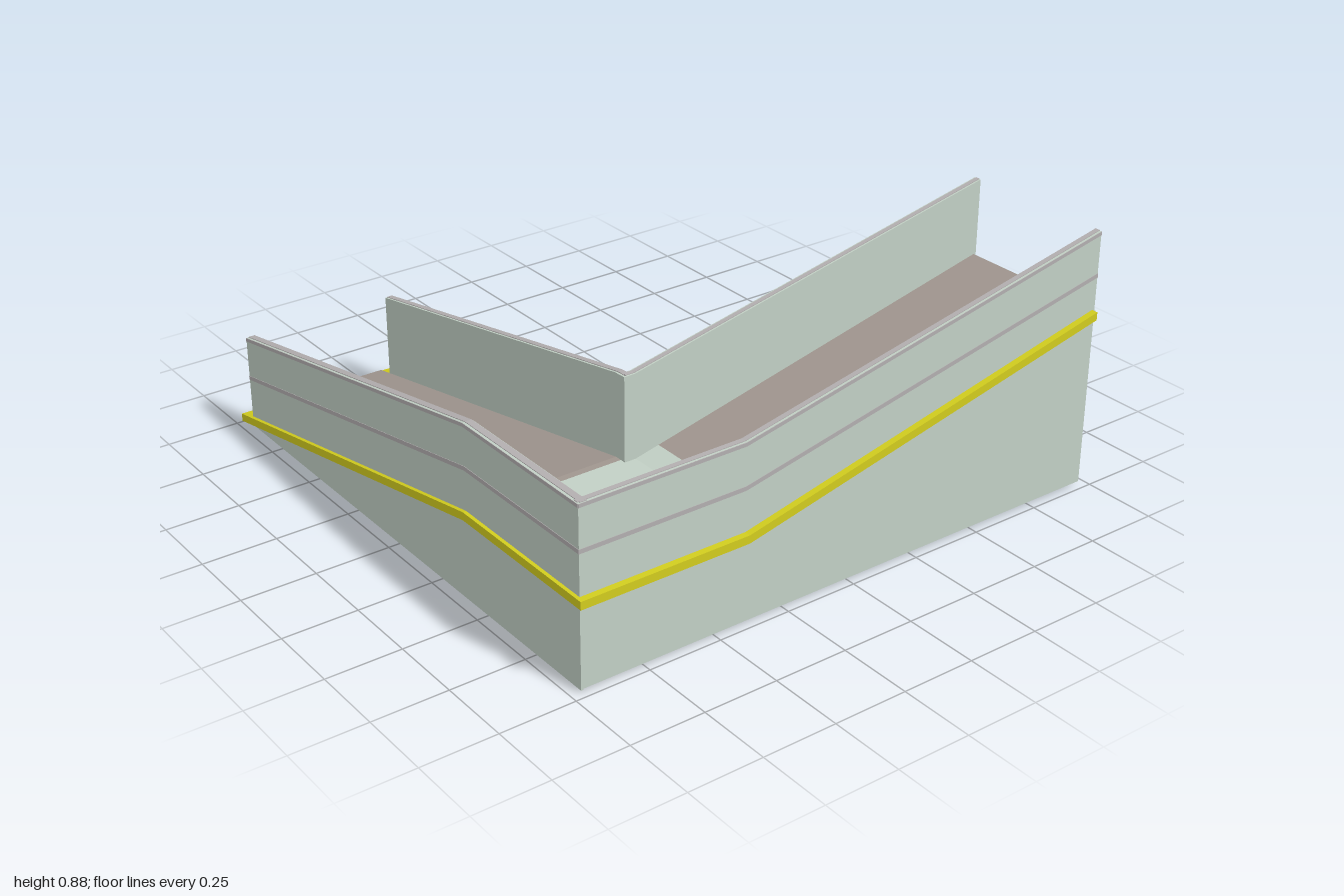
import * as THREE from 'three';

const mat = (name, color, side = THREE.FrontSide) => {
  const m = new THREE.MeshStandardMaterial({ color, side });
  m.name = name;
  return m;
};

export function createModel() {
  const group = new THREE.Group();
  group.name = 'accessRamp';
  const yellow = mat('yellowDeck', 0xd2cd1e);
  const green = mat('paleGreenPanel', 0xc2d0c5);
  const carpet = mat('brownGreyMat', 0xa0968f);
  const grey = mat('greyMetal', 0xb3afb0);

  // Heights of the deck top and of the wall tops along each run
  const lerpPath = pts => s => {
    let i = 0;
    while (i < pts.length - 2 && s > pts[i + 1][0]) i++;
    const [a, b] = [pts[i], pts[i + 1]];
    return a[1] + (b[1] - a[1]) * (s - a[0]) / (b[0] - a[0]);
  };
  // Along x for the lower run; along s = -z for the upper run
  const deckX = lerpPath([[-1, 0.03], [0.41, 0.31], [1, 0.31]]);
  const topX = lerpPath([[-0.94, 0.333], [0.42, 0.597], [1, 0.597]]);
  const deckZ = lerpPath([[-1, 0.31], [-0.4, 0.31], [0.96, 0.62]]);
  const topZ = lerpPath([[-1, 0.597], [-0.4, 0.597], [0.97, 0.88]]);

  // Side profile extruded across: axis x spans z from a to b, axis z spans x
  function profile(name, pts, axis, a, b, material) {
    const shape = new THREE.Shape(pts.map(p => new THREE.Vector2(p[0], p[1])));
    const g = new THREE.ExtrudeGeometry(shape, { depth: b - a, bevelEnabled: false });
    g.translate(0, 0, a);
    if (axis === 'z') g.rotateY(Math.PI / 2);
    const m = new THREE.Mesh(g, material);
    m.name = name;
    group.add(m);
  }

  // Strip lying between two height functions, with an optional bend
  function strip(name, axis, s0, s1, low, high, a, b, material) {
    const bend = axis === 'x' ? 0.41 : -0.4;
    const ss = bend > s0 + 0.001 && bend < s1 - 0.001 ? [s0, bend, s1] : [s0, s1];
    const pts = ss.map(s => [s, low(s)]).concat(ss.slice().reverse().map(s => [s, high(s)]));
    profile(name, pts, axis, a, b, material);
  }
  const off = (f, d) => s => f(s) + d;
  const flat = y => () => y;

  function box(name, x0, x1, y0, y1, z0, z1, material) {
    const m = new THREE.Mesh(new THREE.BoxGeometry(x1 - x0, y1 - y0, z1 - z0), material);
    m.position.set((x0 + x1) / 2, (y0 + y1) / 2, (z0 + z1) / 2);
    m.name = name;
    group.add(m);
  }

  // Decks with walking surfaces
  strip('lowerDeck', 'x', -1, 1, off(deckX, -0.027), deckX, 0.4, 0.98, yellow);
  strip('upperDeck', 'z', -0.4, 0.96, off(deckZ, -0.027), deckZ, 0.415, 1, yellow);
  strip('lowerMat', 'x', -1, 0.435, off(deckX, -0.002), off(deckX, 0.003), 0.44, 0.932, carpet);
  strip('upperMat', 'z', -0.315, 0.96, off(deckZ, -0.002), off(deckZ, 0.003), 0.455, 0.952, carpet);
  strip('landingFloor', 'z', -0.932, -0.315, off(deckZ, -0.002), off(deckZ, 0.003), 0.435, 0.952, green);
  box('topThreshold', 0.46, 0.97, 0.6, 0.608, -0.985, -0.955, green);

  // Front wall: outer sheet reaching the ground, inner sheet above the deck
  strip('frontOuterPanel', 'x', -0.94, 0.978, flat(0.008), topX, 0.96, 0.968, green);
  strip('frontInnerPanel', 'x', -0.935, 0.955, deckX, off(topX, -0.003), 0.932, 0.938, green);

  // Right wall: outer sheet only, open framing inside
  strip('sidePanel', 'z', -0.968, 0.97, flat(0.012), topZ, 0.97, 0.978, green);

  // Inner wall of the lower run: sheet on the walking side and a skirt below
  strip('lowerInnerPanel', 'x', -0.94, 0.45, deckX, topX, 0.433, 0.44, green);
  strip('lowerInnerSkirt', 'x', -0.94, 0.43, flat(0.005), off(deckX, -0.01), 0.41, 0.418, green);

  // Inner wall of the upper run: sheets on both sides and a short skirt
  strip('upperOuterPanel', 'z', -0.43, 0.97, off(deckZ, -0.01), topZ, 0.428, 0.434, green);
  strip('upperInnerPanel', 'z', -0.44, 0.97, off(deckZ, -0.01), topZ, 0.449, 0.455, green);
  strip('upperInnerSkirt', 'z', -0.42, 0.44, flat(0.005), off(deckZ, -0.01), 0.428, 0.434, green);

  // Rails and posts for each wall: [name, axis, from, to, across, width, bays]
  const walls = [
    ['front', 'x', -0.94, 0.975, 0.938, 0.022, 1],
    ['side', 'z', -0.965, 0.97, 0.953, 0.017, 12],
    ['lowerInner', 'x', -0.94, 0.44, 0.414, 0.019, 8],
    ['upperInner', 'z', -0.43, 0.97, 0.434, 0.015, 1]
  ];
  for (const [name, axis, s0, s1, a, w, bays] of walls) {
    const deck = axis === 'x' ? deckX : deckZ;
    const top = axis === 'x' ? topX : topZ;
    const rails = bays > 1 ? [-0.005, -0.145, -0.272] : [-0.005];
    for (const d of rails) {
      strip(name + 'Rail', axis, s0, s1, off(top, d - 0.007), off(top, d + 0.007), a, a + w, grey);
    }
    for (let i = 0; i <= bays; i++) {
      const s = s0 + (s1 - s0 - 0.014) * i / bays;
      strip(name + 'Post', axis, s, s + 0.014, off(deck, -0.005), off(top, -0.001), a, a + w, grey);
    }
  }

  // Slim rail lines showing on the two outer faces
  for (const [d, h] of [[0, 0.012], [-0.139, 0.014]]) {
    strip('frontRailLine', 'x', -0.94, 0.978, off(topX, d - h), off(topX, d), 0.967, 0.9695, grey);
    strip('sideRailLine', 'z', -0.968, 0.97, off(topZ, d - h), off(topZ, d), 0.977, 0.9795, grey);
  }

  // Square columns carrying the decks
  const columns = [[-0.12, 0.9], [-0.12, 0.46], [0.47, 0.91]];
  for (const z of [0.45, -0.23, -0.87]) columns.push([0.47, z], [0.935, z]);
  columns.push([0.935, 0.915]);
  const r = 0.024;
  for (const [x, z] of columns) {
    const y = z < 0.4 ? deckZ(-z) : deckX(x);
    box('column', x - r, x + r, 0, y - 0.018, z - r, z + r, grey);
  }
  return group;
}
